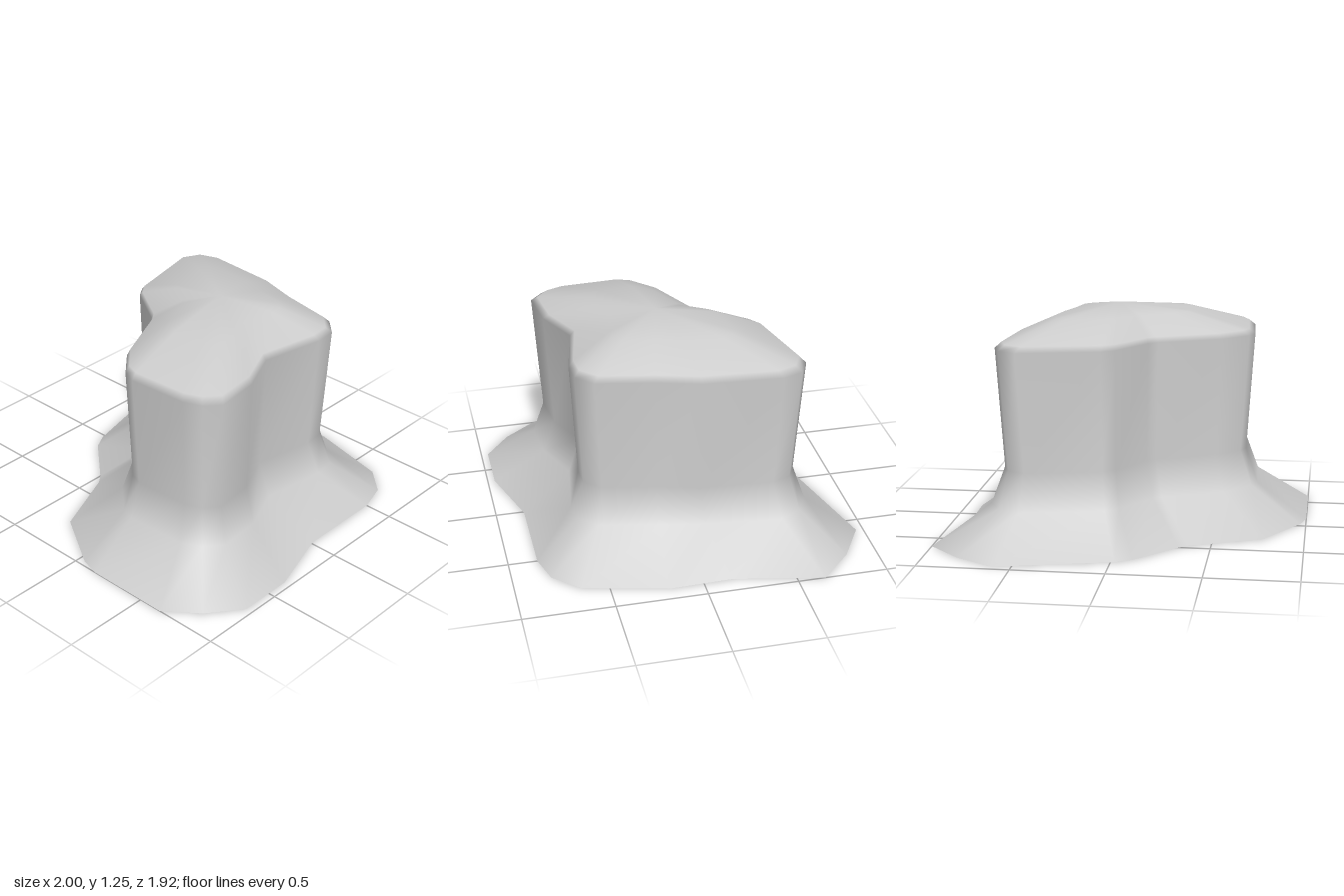
import * as THREE from 'three';

// Ground outline and matching body outline, as [x, z] going round from the back.
const base = [
  [0.60, -0.96], [0.82, -0.83], [1.00, -0.65], [0.90, -0.16], [0.91, 0.19],
  [0.80, 0.65], [0.67, 0.79], [0.50, 0.84], [0.01, 0.84], [-0.37, 0.96],
  [-0.68, 0.96], [-0.86, 0.82], [-1.00, 0.64], [-1.00, 0.15], [-0.97, 0.04],
  [-0.77, -0.29], [-0.38, -0.46], [-0.33, -0.50], [-0.11, -0.75], [-0.02, -0.80],
];
const body = [
  [0.53, -0.64], [0.63, -0.59], [0.67, -0.48], [0.64, -0.05], [0.57, 0.19],
  [0.51, 0.50], [0.42, 0.59], [0.30, 0.60], [-0.06, 0.53], [-0.30, 0.64],
  [-0.55, 0.67], [-0.63, 0.60], [-0.67, 0.50], [-0.69, 0.16], [-0.66, 0.08],
  [-0.52, -0.05], [-0.18, -0.21], [-0.13, -0.25], [0.02, -0.49], [0.09, -0.54],
];
const peak = [0.07, 0.08];

const scale = (ring, s, [cx, cz] = [0, 0]) =>
  ring.map(([x, z]) => [cx + (x - cx) * s, cz + (z - cz) * s]);
const blend = (a, b, t) =>
  a.map(([x, z], i) => [x + (b[i][0] - x) * t, z + (b[i][1] - z) * t]);

// Skin a stack of [height, outline] sections and close it at an apex.
function loft(sections, apex) {
  const n = sections[0][1].length;
  const positions = [];
  const index = [];
  for (const [y, ring] of sections) for (const [x, z] of ring) positions.push(x, y, z);
  positions.push(...apex);
  const last = sections.length - 1;
  for (let r = 0; r <= last; r++) {
    for (let i = 0; i < n; i++) {
      const a = r * n + i;
      const b = r * n + (i + 1) % n;
      if (r < last) index.push(b, a, a + n, b, a + n, b + n);
      else index.push(b, a, sections.length * n);
    }
  }
  const geometry = new THREE.BufferGeometry();
  geometry.setAttribute('position', new THREE.Float32BufferAttribute(positions, 3));
  geometry.setIndex(index);
  geometry.computeVertexNormals();
  return geometry;
}

export function createModel() {
  const group = new THREE.Group();
  group.name = 'rockPlateau';

  // Flared foot, steep wall, rounded rim and shallow crown; open underneath.
  const neck = scale(body, 0.94);
  const geometry = loft([
    [0, base],
    [0.21, blend(neck, base, 0.19)],
    [0.41, neck],
    [1.07, body],
    [1.10, scale(body, 0.95)],
    [1.20, scale(body, 0.53, peak)],
  ], [peak[0], 1.25, peak[1]]);

  const material = new THREE.MeshStandardMaterial({ color: 0xcccccc, side: THREE.DoubleSide });
  const plateau = new THREE.Mesh(geometry, material);
  plateau.name = 'plateau';
  group.add(plateau);
  return group;
}
